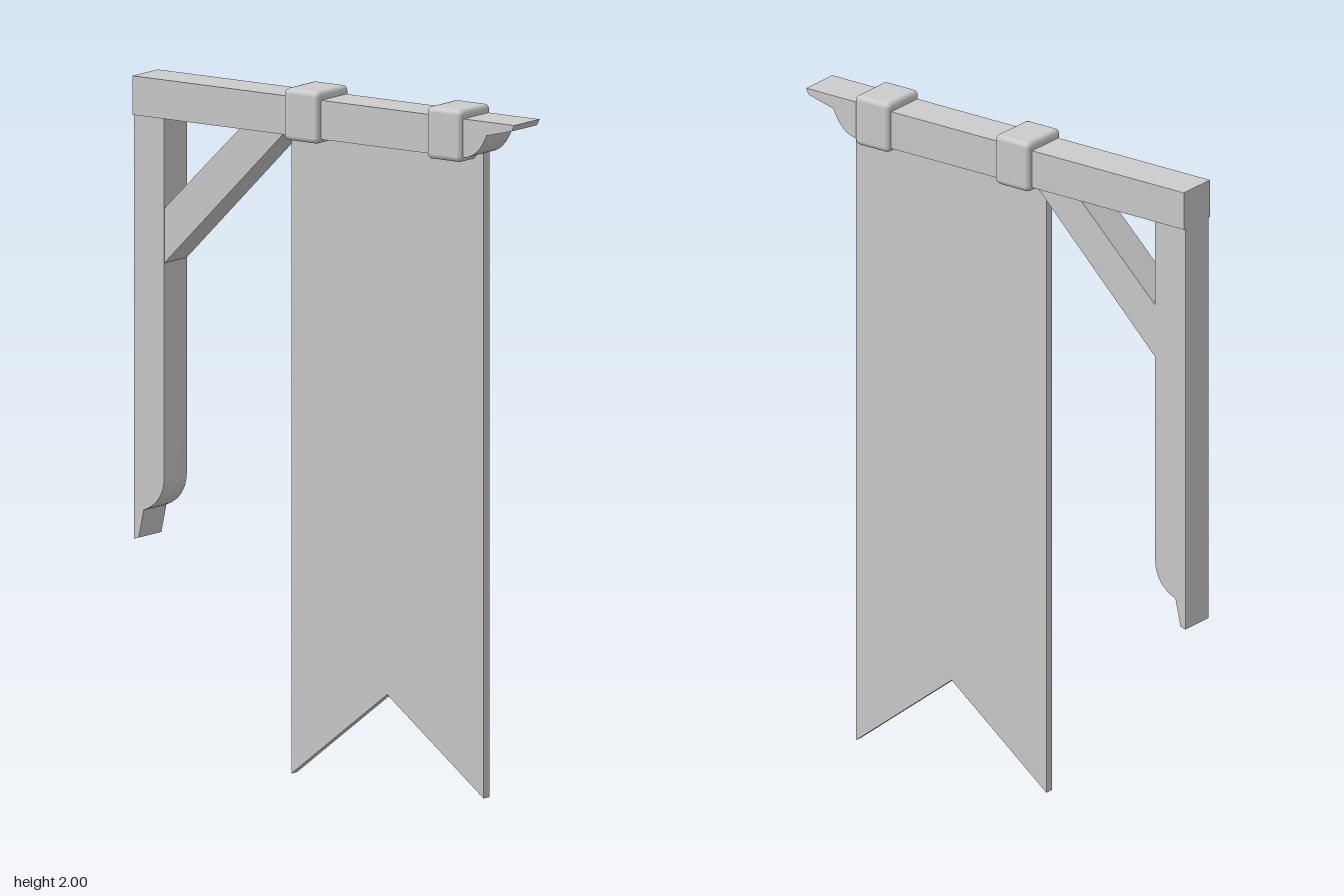
import * as THREE from 'three';
import { toCreasedNormals } from 'three/addons/utils/BufferGeometryUtils.js';
import { RoundedBoxGeometry } from 'three/addons/geometries/RoundedBoxGeometry.js';

export function createModel() {
  const model = new THREE.Group();
  const grey = new THREE.MeshStandardMaterial({ color: 0xcccccc });
  grey.name = 'plain grey';

  const add = (name, geometry) => {
    const mesh = new THREE.Mesh(geometry, grey);
    mesh.name = name;
    model.add(mesh);
    return mesh;
  };

  // Extrudes a front outline between two depths, keeping hard corners sharp
  const slab = (name, shape, zBack, zFront) => {
    const geometry = new THREE.ExtrudeGeometry(shape, {
      depth: zFront - zBack, bevelEnabled: false, curveSegments: 8,
    });
    geometry.translate(0, 0, zBack);
    return add(name, toCreasedNormals(geometry, 0.5));
  };
  const polygon = (points) => new THREE.Shape(points.map(([x, y]) => new THREE.Vector2(x, y)));

  // Horizontal beam with a carved tip
  const beam = new THREE.Shape();
  beam.moveTo(-0.672, 1.862);
  beam.lineTo(0.49, 1.862);
  beam.bezierCurveTo(0.53, 1.866, 0.555, 1.89, 0.575, 1.935);
  beam.lineTo(0.663, 1.957);
  beam.lineTo(0.672, 1.975);
  beam.lineTo(-0.672, 1.975);
  slab('beam', beam, -0.062, 0.062);

  // Wall post with a carved foot
  const post = new THREE.Shape();
  post.moveTo(-0.672, 0.633);
  post.lineTo(-0.655, 0.638);
  post.lineTo(-0.637, 0.72);
  post.bezierCurveTo(-0.595, 0.735, -0.565, 0.77, -0.565, 0.82);
  post.lineTo(-0.565, 1.865);
  post.lineTo(-0.672, 1.865);
  slab('post', post, -0.055, 0.055);

  // Diagonal brace, let into the post and the beam
  slab('brace', polygon([
    [-0.575, 1.433], [-0.565, 1.443], [-0.145, 1.863], [-0.297, 1.863], [-0.575, 1.592],
  ]), -0.054, 0.054);

  // Swallow-tailed banner
  slab('banner', polygon([
    [-0.157, 0], [0.18, 0.265], [0.52, 0], [0.52, 1.878], [-0.157, 1.878],
  ]), -0.027, 0);

  // Two softened straps around the beam
  for (const [name, x, depth] of [['innerStrap', -0.07, 0.154], ['outerStrap', 0.431, 0.148]]) {
    const strap = add(name, new RoundedBoxGeometry(0.124, 0.152, depth, 2, 0.016));
    strap.position.set(x, 1.924, 0);
  }

  return model;
}
